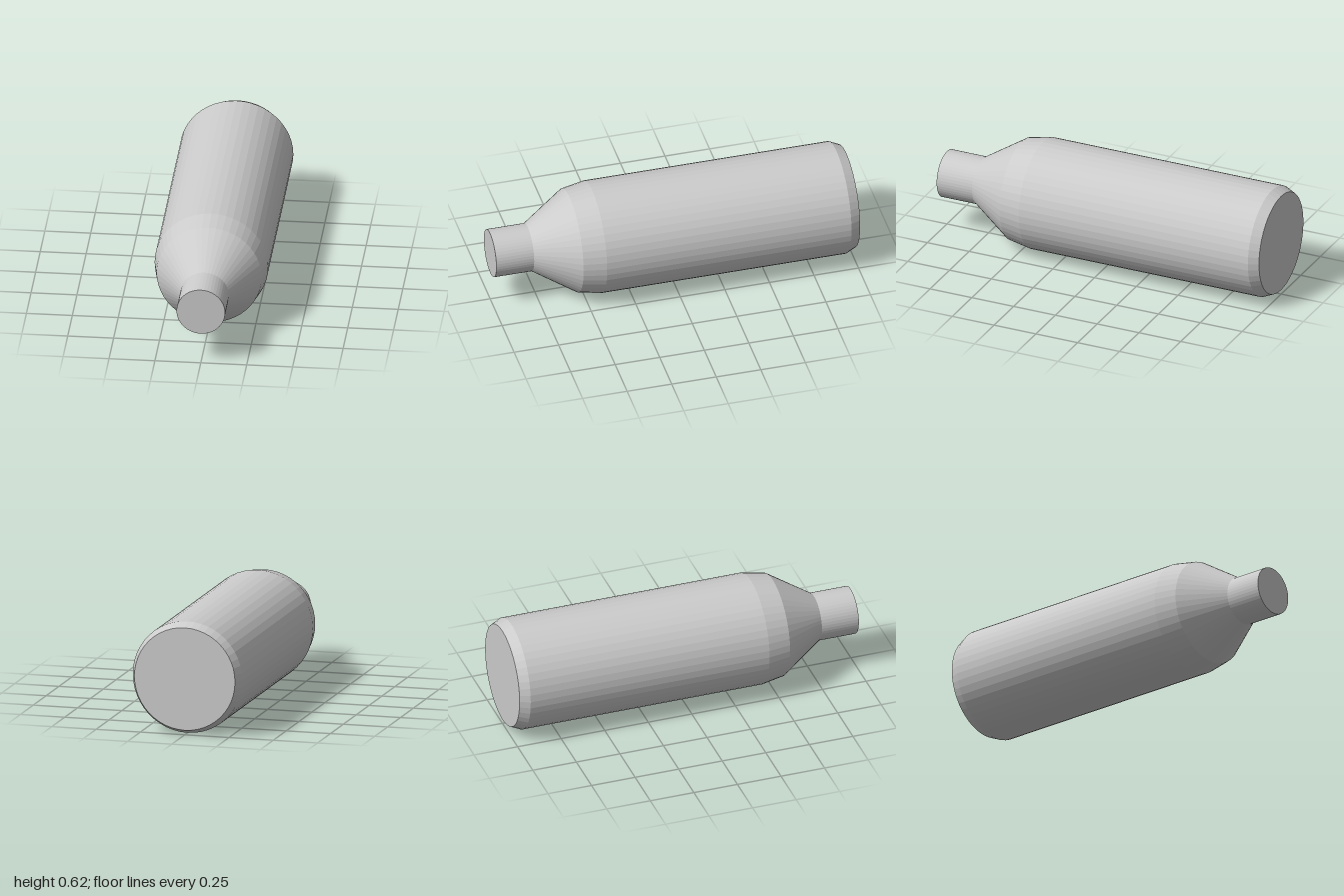
import * as THREE from 'three';

const SIDES = 48;
const AXIS_HEIGHT = 0.31;

// Turned part lying along z; profile is [radius, z] from back to front
function turned(name, profile, material) {
  const points = profile.map(([r, z]) => new THREE.Vector2(r, z));
  const geometry = new THREE.LatheGeometry(points, SIDES);
  geometry.rotateX(Math.PI / 2);
  const mesh = new THREE.Mesh(geometry, material);
  mesh.name = name;
  mesh.position.y = AXIS_HEIGHT;
  return mesh;
}

export function createModel() {
  const group = new THREE.Group();
  group.name = 'cylinderWithNeck';
  const grey = new THREE.MeshStandardMaterial({ color: 0xcccccc, flatShading: true });

  // Main barrel: closed back, bevelled rear rim, tapered front edge
  group.add(turned('barrel', [
    [0, -1], [0.284, -1], [0.309, -0.945], [0.309, 0.426], [0.286, 0.552],
  ], grey));

  // Cone narrowing towards the neck
  group.add(turned('shoulder', [[0.286, 0.552], [0.132, 0.788]], grey));

  // Short neck with a closed front end
  group.add(turned('neck', [[0.132, 0.788], [0.132, 1], [0, 1]], grey));

  return group;
}
